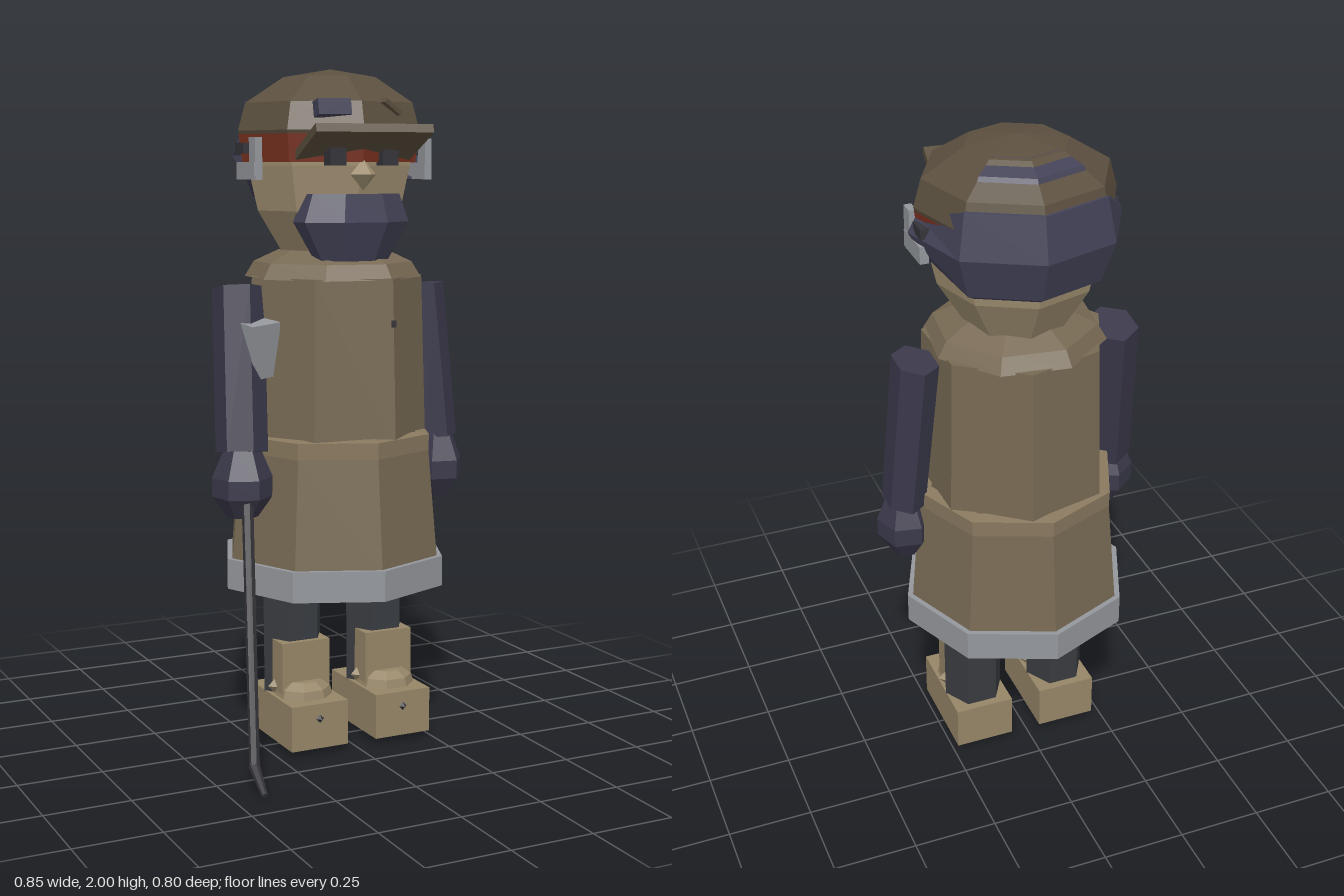
import * as THREE from 'three';

const rad = THREE.MathUtils.degToRad;
const paint = (color) =>
  new THREE.MeshStandardMaterial({ color, flatShading: true, side: THREE.DoubleSide });

export function createModel() {
  const model = new THREE.Group();
  const coat = paint(0x786a54), belt = paint(0x89795f), skin = paint(0xa39273);
  const capMat = paint(0x5c503f), wool = paint(0x434257), sleeve = paint(0x3b394b);
  const red = paint(0x78301f), metal = paint(0x94979c), dark = paint(0x383b40);
  const boot = paint(0x968668), iron = paint(0x34343a);

  const add = (name, geo, mat, x = 0, y = 0, z = 0) => {
    const mesh = new THREE.Mesh(geo, mat);
    mesh.name = name;
    mesh.position.set(x, y, z);
    model.add(mesh);
    return mesh;
  };
  const box = (name, mat, w, h, d, x, y, z) =>
    add(name, new THREE.BoxGeometry(w, h, d), mat, x, y, z);
  // Faceted solid of revolution from [radius, height] pairs
  const turned = (name, mat, profile, sides, turn, x, z, arc = 360) =>
    add(name, new THREE.LatheGeometry(
      profile.map(([r, y]) => new THREE.Vector2(r, y)), sides, rad(turn), rad(arc)), mat, x, 0, z);
  // Tapered prism between two points
  const limb = (name, mat, a, b, ra, rb, sides, flat = 1) => {
    const from = new THREE.Vector3(...a), to = new THREE.Vector3(...b);
    const dir = to.clone().sub(from);
    const geo = new THREE.CylinderGeometry(rb, ra, dir.length(), sides);
    geo.scale(flat, 1, 1);
    const mesh = add(name, geo, mat);
    mesh.position.copy(from).add(to).multiplyScalar(0.5);
    mesh.quaternion.setFromUnitVectors(new THREE.Vector3(0, 1, 0), dir.normalize());
    return mesh;
  };

  // Long coat
  const cx = 0.01, cz = -0.055;
  turned('hemTrim', metal, [[0, 0.48], [0.345, 0.48], [0.345, 0.57], [0.32, 0.57]], 8, 0, cx, cz);
  turned('skirt', coat, [[0.33, 0.55], [0.3, 0.89]], 8, 0, cx, cz);
  turned('belt', belt, [[0.3, 0.88], [0.302, 0.935], [0.26, 0.94]], 8, 0, cx, cz);
  turned('coatBody', coat, [[0.28, 0.9], [0.265, 1.4], [0.235, 1.4]], 7, 15, cx, cz);
  turned('collar', coat, [[0.262, 1.395], [0.235, 1.44], [0.16, 1.475], [0, 1.475]], 8, 15, cx, cz);
  box('button', iron, 0.014, 0.02, 0.014, 0.08, 1.27, 0.2);

  // Head, beard and face
  const hx = 0.015, hz = -0.08;
  turned('head', skin, [[0, 1.44], [0.14, 1.45], [0.225, 1.59], [0.255, 1.72], [0.265, 1.82]],
    8, -6, hx, hz);
  const beard = turned('beard', wool,
    [[0, 1.44], [0.115, 1.45], [0.18, 1.56], [0.15, 1.64], [0, 1.64]], 8, 22.5, 0, 0.09);
  beard.scale.z = 0.58;
  const nose = add('nose', new THREE.OctahedronGeometry(0.045), skin, -0.01, 1.695, 0.185);
  nose.scale.set(0.9, 1, 1.1);
  for (const x of [-0.095, 0.07]) box('eye', iron, 0.05, 0.05, 0.04, x, 1.745, 0.18);

  // Cap with red band and raised, slightly turned brim
  turned('capBand', red, [[0.272, 1.73], [0.282, 1.81]], 8, -6, hx, hz);
  turned('cap', capMat,
    [[0.275, 1.795], [0.284, 1.82], [0.262, 1.9], [0.145, 1.975], [0, 2]], 8, -6, hx, hz);
  const brim = box('brim', capMat, 0.345, 0.025, 0.2, -0.02, 1.785, 0.208);
  brim.rotation.set(rad(-22), rad(-6.5), 0, 'YXZ');
  const badge = box('capBadge', wool, 0.1, 0.045, 0.04, -0.093, 1.88, 0.157);
  badge.rotation.set(-0.2, -0.05, 0);
  const pin = box('capPin', capMat, 0.07, 0.014, 0.03, 0.09, 1.885, 0.158);
  pin.rotation.set(0, 0.25, -0.55);

  // Hair wraps the back of the head and drops toward the temples
  const hair = turned('backHair', wool,
    [[0.19, 1.59], [0.26, 1.63], [0.302, 1.75], [0.275, 1.875], [0.235, 1.885]], 4, 84, hx, hz, 180);
  const p = hair.geometry.attributes.position;
  for (let i = 0; i < p.count; i++) {
    if (p.getZ(i) < -0.06) continue;
    const y = p.getY(i);
    p.setY(i, y > 1.8 ? 1.8 : Math.max(y, 1.68));
  }
  turned('crownHair', wool, [[0.21, 1.93], [0.2, 1.948], [0.13, 1.978]], 2, 129, hx, hz, 90);

  for (const side of [-1, 1]) {
    // Cap clips by the ears
    const x = hx + side * 0.275;
    box('earClip', metal, 0.022, 0.12, 0.045, x, 1.74, 0.0);
    box('earClipFoot', metal, 0.026, 0.05, 0.13, x, 1.705, -0.045);
    box('earClipPin', iron, 0.026, 0.03, 0.06, x, 1.77, -0.09);

    // Legs, shin guards and block boots
    const lx = 0.01 + side * 0.138;
    const leg = add('trouserLeg', new THREE.CylinderGeometry(0.095, 0.092, 0.42, 6), dark, lx, 0.36, -0.05);
    leg.rotation.y = rad(30);
    box('shinGuard', boot, 0.155, 0.17, 0.075, lx, 0.235, 0.012);
    box('boot', boot, 0.182, 0.135, 0.3, lx, 0.0875, -0.005);
    const instep = turned('instep', boot, [[0.088, 0.15], [0.08, 0.18], [0.05, 0.2], [0, 0.2]],
      8, 22.5, lx, 0.03);
    instep.scale.z = 0.95;
    for (const s of [-1, 1])
      add('ankleStud', new THREE.OctahedronGeometry(0.02), boot, lx + s * 0.08, 0.18, -0.005);
    add('toeStud', new THREE.OctahedronGeometry(0.013), iron, lx, 0.11, 0.145);
  }

  // Sleeves and hands
  limb('leftSleeve', sleeve, [0.348, 0.9, -0.03], [0.308, 1.365, -0.055], 0.082, 0.087, 6, 0.75);
  limb('rightSleeve', sleeve, [-0.318, 0.9, 0.02], [-0.29, 1.37, -0.065], 0.087, 0.087, 6, 0.85);
  const hand = [[0, 0.71], [0.045, 0.715], [0.088, 0.775], [0.088, 0.83], [0.05, 0.92], [0, 0.92]];
  turned('leftHand', sleeve, hand, 6, 20, 0.345, -0.015).scale.x = 0.9;
  turned('rightHand', sleeve, hand, 6, 10, -0.325, 0.04);
  const band = box('armBand', metal, 0.1, 0.16, 0.11, -0.268, 1.2, 0.0);
  band.rotation.set(0.16, 0.25, 0.05);

  // Hooked iron bar held in the right hand
  limb('barShaft', iron, [-0.405, 0.055, 0.3], [-0.33, 0.8, 0.085], 0.015, 0.017, 6);
  limb('barTip', iron, [-0.418, 0.008, 0.4], [-0.405, 0.06, 0.295], 0.009, 0.016, 6);
  return model;
}
